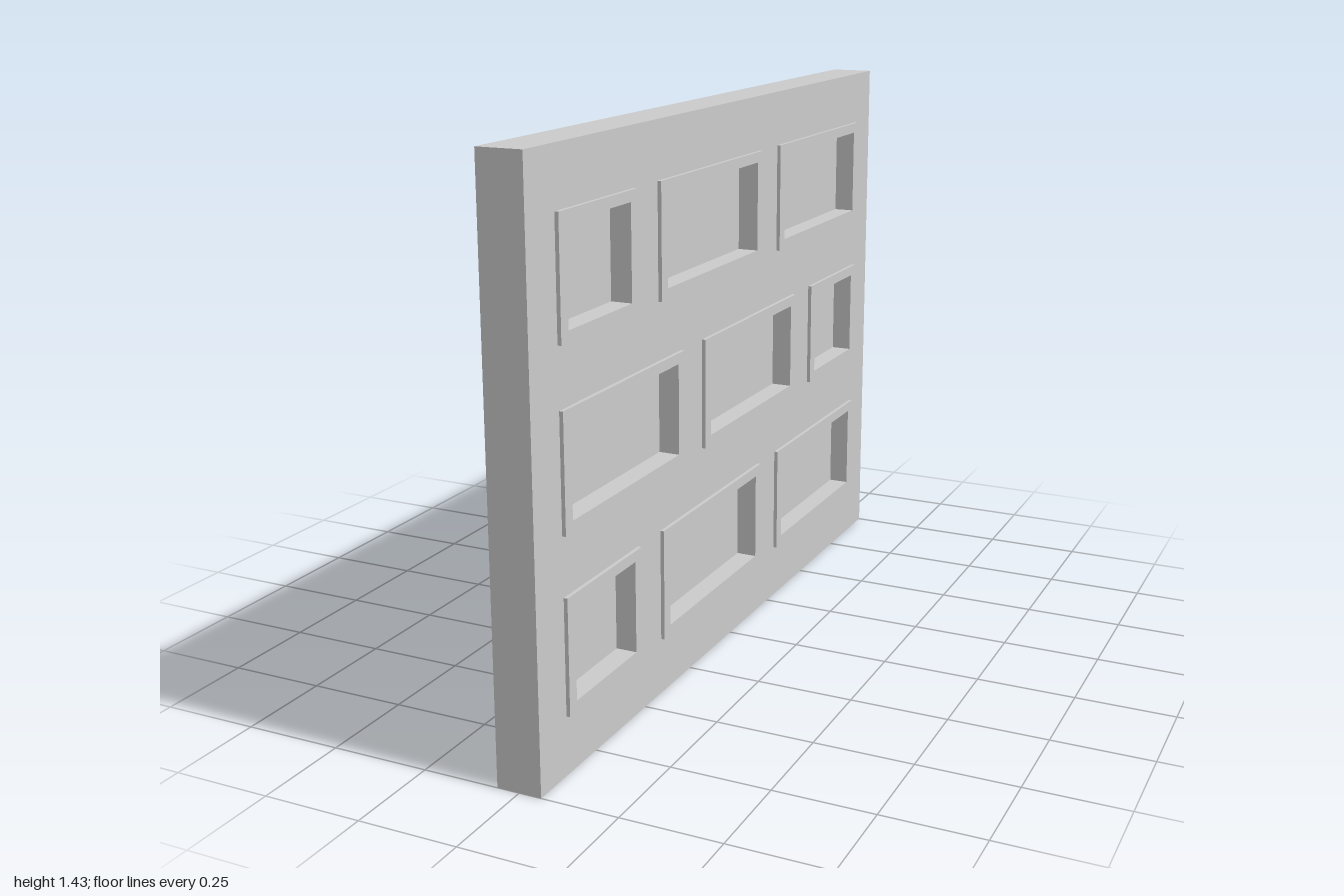
import * as THREE from 'three';

const HEIGHT = 1.43, HALF_SLAB = 0.0565, HALF_FRAME = 0.066, HALF_PANEL = 0.012;
const INSET_Z = 0.032, INSET_Y = 0.027;

// Openings per row as [zMin, zMax], staggered like brickwork
const outerRow = [[0.53, 0.882], [-0.176, 0.412], [-0.882, -0.294]];
const middleRow = outerRow.map(([a, b]) => [-b, -a]).map(([a, b]) => [a, b]);
const rows = [
  { y0: 0.145, y1: 0.43, spans: outerRow },
  { y0: 0.574, y1: 0.858, spans: middleRow },
  { y0: 1.002, y1: 1.288, spans: outerRow },
];

const material = new THREE.MeshStandardMaterial({ color: 0xcccccc, flatShading: true });

function rectangle(Type, z0, z1, y0, y1) {
  const path = new Type();
  path.moveTo(z0, y0);
  path.lineTo(z1, y0);
  path.lineTo(z1, y1);
  path.lineTo(z0, y1);
  path.closePath();
  return path;
}

// Extrudes a z-y outline evenly to both sides of x = 0
function plate(name, shape, half) {
  const geometry = new THREE.ExtrudeGeometry(shape, { depth: 2 * half, bevelEnabled: false });
  geometry.translate(0, 0, -half);
  geometry.rotateY(-Math.PI / 2);
  const mesh = new THREE.Mesh(geometry, material);
  mesh.name = name;
  return mesh;
}

export function createModel() {
  const model = new THREE.Group();
  model.name = 'panelledWall';
  const wall = rectangle(THREE.Shape, -1, 1, 0, HEIGHT);

  for (const { y0, y1, spans } of rows) {
    for (const [z0, z1] of spans) {
      wall.holes.push(rectangle(THREE.Path, z0, z1, y0, y1));
      const inner = [z0 + INSET_Z, z1 - INSET_Z, y0 + INSET_Y, y1 - INSET_Y];

      // Raised rim running through the wall
      const rim = rectangle(THREE.Shape, z0, z1, y0, y1);
      rim.holes.push(rectangle(THREE.Path, ...inner));
      model.add(plate('frame', rim, HALF_FRAME));

      // Thin panel closing the opening, recessed on both faces
      model.add(plate('recessedPanel', rectangle(THREE.Shape, ...inner), HALF_PANEL));
    }
  }

  model.add(plate('wall', wall, HALF_SLAB));
  return model;
}
